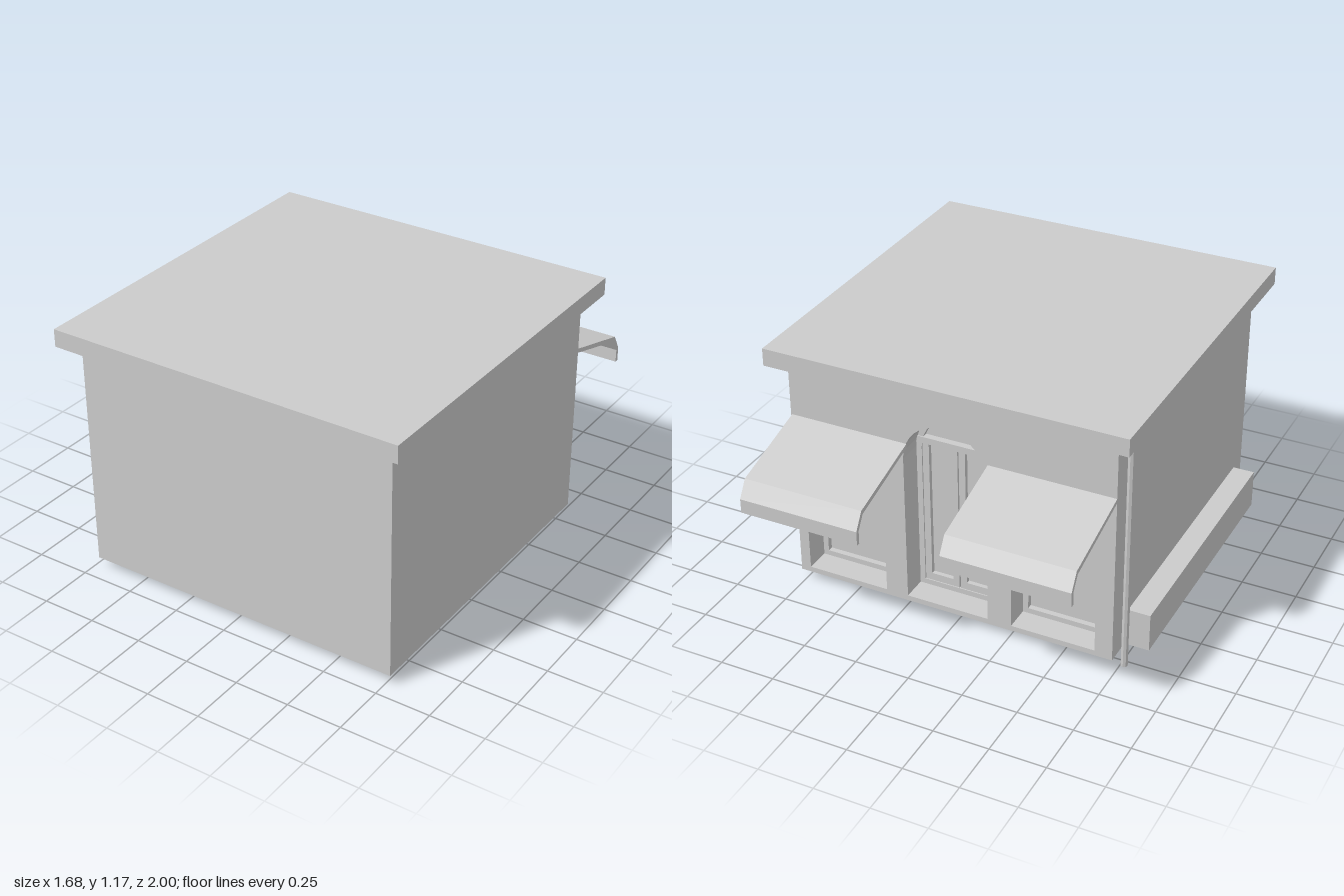
import * as THREE from 'three';

const material = new THREE.MeshStandardMaterial({ color: 0xcccccc, flatShading: true, side: THREE.DoubleSide });

const CX = 0.02, CZ = 0.175;       // centre of the walls
const BACK = -0.575;               // plane of the arched facade
const RECESS = 0.14;               // depth of the openings
const PANE = BACK + RECESS;
const SILL = 0.07;

function add(parent, name, geometry, x = 0, y = 0, z = 0) {
  const mesh = new THREE.Mesh(geometry, material);
  mesh.name = name;
  mesh.position.set(x, y, z);
  parent.add(mesh);
  return mesh;
}

// box given by its limits
function addBox(parent, name, x0, x1, y0, y1, z0, z1) {
  return add(parent, name, new THREE.BoxGeometry(x1 - x0, y1 - y0, z1 - z0),
    (x0 + x1) / 2, (y0 + y1) / 2, (z0 + z1) / 2);
}

// round-headed outline, for openings and frames
function arch(PathType, x, half, bottom, top) {
  const spring = top - half;
  const path = new PathType();
  path.moveTo(x - half, bottom);
  path.lineTo(x + half, bottom);
  path.lineTo(x + half, spring);
  path.absarc(x, spring, half, 0, Math.PI, false);
  path.lineTo(x - half, bottom);
  return path;
}

function extrude(shape, depth) {
  return new THREE.ExtrudeGeometry(shape, { depth, bevelEnabled: false, curveSegments: 8 });
}

// sloping canopy with a bent front valance
function awningGeometry(width) {
  const shape = new THREE.Shape([
    [BACK, 0.842], [-0.953, 0.735], [-0.998, 0.66], [-0.998, 0.595],
    [-0.98, 0.595], [-0.98, 0.655], [-0.943, 0.715], [BACK, 0.822],
  ].map(([z, y]) => new THREE.Vector2(z, y)));
  return extrude(shape, width).rotateY(-Math.PI / 2);
}

export function createModel() {
  const model = new THREE.Group();
  model.name = 'smallShop';

  const openings = [
    { name: 'leftWindow', x: 0.53, top: 0.775 },
    { name: 'doorway', x: 0.04, top: 0.96 },
    { name: 'rightWindow', x: -0.457, top: 0.775 },
  ];
  const half = 0.193;

  // walls: solid block with a pierced facade on its back
  addBox(model, 'walls', -0.73, 0.77, 0.045, 1.09, PANE, 0.925);
  const facade = new THREE.Shape([
    new THREE.Vector2(-0.73, 0.045), new THREE.Vector2(0.77, 0.045),
    new THREE.Vector2(0.77, 1.09), new THREE.Vector2(-0.73, 1.09),
  ]);
  for (const o of openings) facade.holes.push(arch(THREE.Path, o.x, half, SILL, o.top));
  add(model, 'archedFacade', extrude(facade, RECESS), 0, 0, BACK);

  // frames set back inside each opening
  for (const o of openings) {
    const group = new THREE.Group();
    group.name = o.name;
    model.add(group);
    const isDoor = o.name === 'doorway';
    const frame = arch(THREE.Shape, o.x, half, SILL, o.top);
    frame.holes.push(arch(THREE.Path, o.x, half - 0.025, SILL + 0.025, o.top - 0.025));
    add(group, 'frame', extrude(frame, 0.025), 0, 0, PANE - 0.025);

    if (isDoor) {
      // transom and a pair of framed door leaves
      addBox(group, 'transom', o.x - half, o.x + half, 0.79, 0.82, PANE - 0.03, PANE);
      for (const side of [-1, 1]) {
        const x = o.x + side * 0.085;
        for (const s of [-1, 1]) {
          addBox(group, 'doorStile', x + s * 0.067 - 0.015, x + s * 0.067 + 0.015, SILL, 0.8, PANE - 0.02, PANE);
        }
        addBox(group, 'doorRail', x - 0.08, x + 0.08, SILL, SILL + 0.06, PANE - 0.02, PANE);
      }
    }
  }

  // awnings over the two windows
  add(model, 'leftAwning', awningGeometry(0.55), 0.765, 0, 0);
  add(model, 'rightAwning', awningGeometry(0.57), -0.16, 0, 0);

  // cornice flaring out to the flat roof slab
  const cornice = new THREE.CylinderGeometry(0.785 * Math.SQRT2, 0.75 * Math.SQRT2, 0.018, 4);
  add(model, 'cornice', cornice.rotateY(Math.PI / 4), CX, 1.088, CZ);
  addBox(model, 'roof', -0.805, 0.84, 1.095, 1.175, -0.65, 1);

  // downpipe and long planter beside the right wall
  add(model, 'downpipe', new THREE.CylinderGeometry(0.016, 0.016, 1.1, 8), -0.765, 0.55, -0.525);
  addBox(model, 'planter', -0.845, -0.745, 0.053, 0.23, -0.455, 0.785);

  return model;
}
